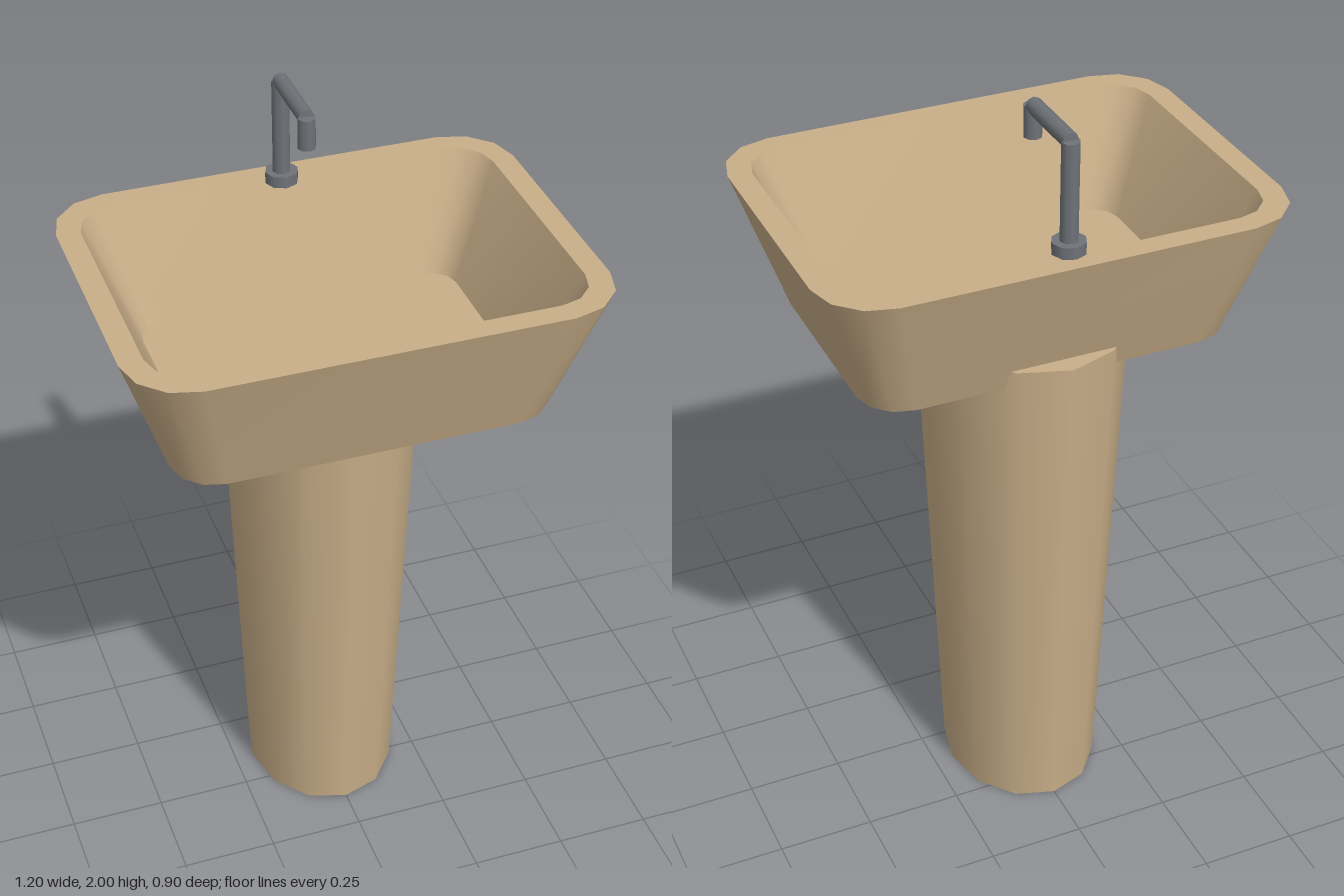
import * as THREE from 'three';
import { toCreasedNormals } from 'three/addons/utils/BufferGeometryUtils.js';

const ceramic = new THREE.MeshStandardMaterial({ color: 0xc8ae88 });
const metal = new THREE.MeshStandardMaterial({ color: 0x6f7378 });

// Rounded rectangle in the xz plane, three facets per corner
function roundedRing([hx, hz, r, y]) {
  const points = [];
  for (let corner = 0; corner < 4; corner++) {
    const sx = corner === 0 || corner === 3 ? 1 : -1;
    const sz = corner < 2 ? -1 : 1;
    for (let k = 0; k < 4; k++) {
      const a = (corner + k / 3) * Math.PI / 2;
      points.push([sx * (hx - r) + r * Math.cos(a), y, sz * (hz - r) - r * Math.sin(a)]);
    }
  }
  return points;
}

// Skin consecutive rings; the first and last are collapsed to a centre point
function loftRings(sections) {
  const rings = sections.map(roundedRing);
  const n = rings[0].length;
  const positions = [];
  for (let s = 0; s < rings.length - 1; s++) {
    for (let i = 0; i < n; i++) {
      const j = (i + 1) % n;
      const a = rings[s][i], b = rings[s][j], c = rings[s + 1][j], d = rings[s + 1][i];
      if (s > 0) positions.push(...a, ...b, ...c);
      if (s < rings.length - 2) positions.push(...a, ...c, ...d);
    }
  }
  const geometry = new THREE.BufferGeometry();
  geometry.setAttribute('position', new THREE.Float32BufferAttribute(positions, 3));
  return toCreasedNormals(geometry, THREE.MathUtils.degToRad(40));
}

function addMesh(parent, name, geometry, material) {
  const mesh = new THREE.Mesh(geometry, material);
  mesh.name = name;
  parent.add(mesh);
  return mesh;
}

export function createModel() {
  const model = new THREE.Group();
  model.name = 'pedestalSink';

  // Basin: underside, outer wall, rim, inner wall, floor [halfX, halfZ, radius, y]
  addMesh(model, 'basin', loftRings([
    [0, 0, 0, 1.345],
    [0.48, 0.34, 0.11, 1.345],
    [0.6, 0.45, 0.155, 1.7],
    [0.54, 0.39, 0.105, 1.7],
    [0.42, 0.28, 0.07, 1.405],
    [0, 0, 0, 1.405],
  ]), ceramic);

  // Pedestal: tapered oval column, set towards the back
  const column = new THREE.CylinderGeometry(1, 0.78, 1.4, 12);
  column.scale(0.255, 1, 0.31);
  addMesh(model, 'pedestal', column, ceramic).position.set(0, 0.7, -0.1);

  // Tap: collar, riser, spout arm and nozzle
  const tap = new THREE.Group();
  tap.name = 'tap';
  model.add(tap);
  const tube = (name, radius, length, y, z) => {
    const mesh = addMesh(tap, name, new THREE.CylinderGeometry(radius, radius, length, 8), metal);
    mesh.position.set(0, y, z);
    return mesh;
  };
  tube('tapCollar', 0.043, 0.03, 1.715, -0.37);
  tube('tapRiser', 0.023, 0.28, 1.84, -0.37);
  tube('tapArm', 0.021, 0.2, 1.979, -0.27).rotation.x = Math.PI / 2;
  tube('tapNozzle', 0.023, 0.08, 1.94, -0.168);

  return model;
}
